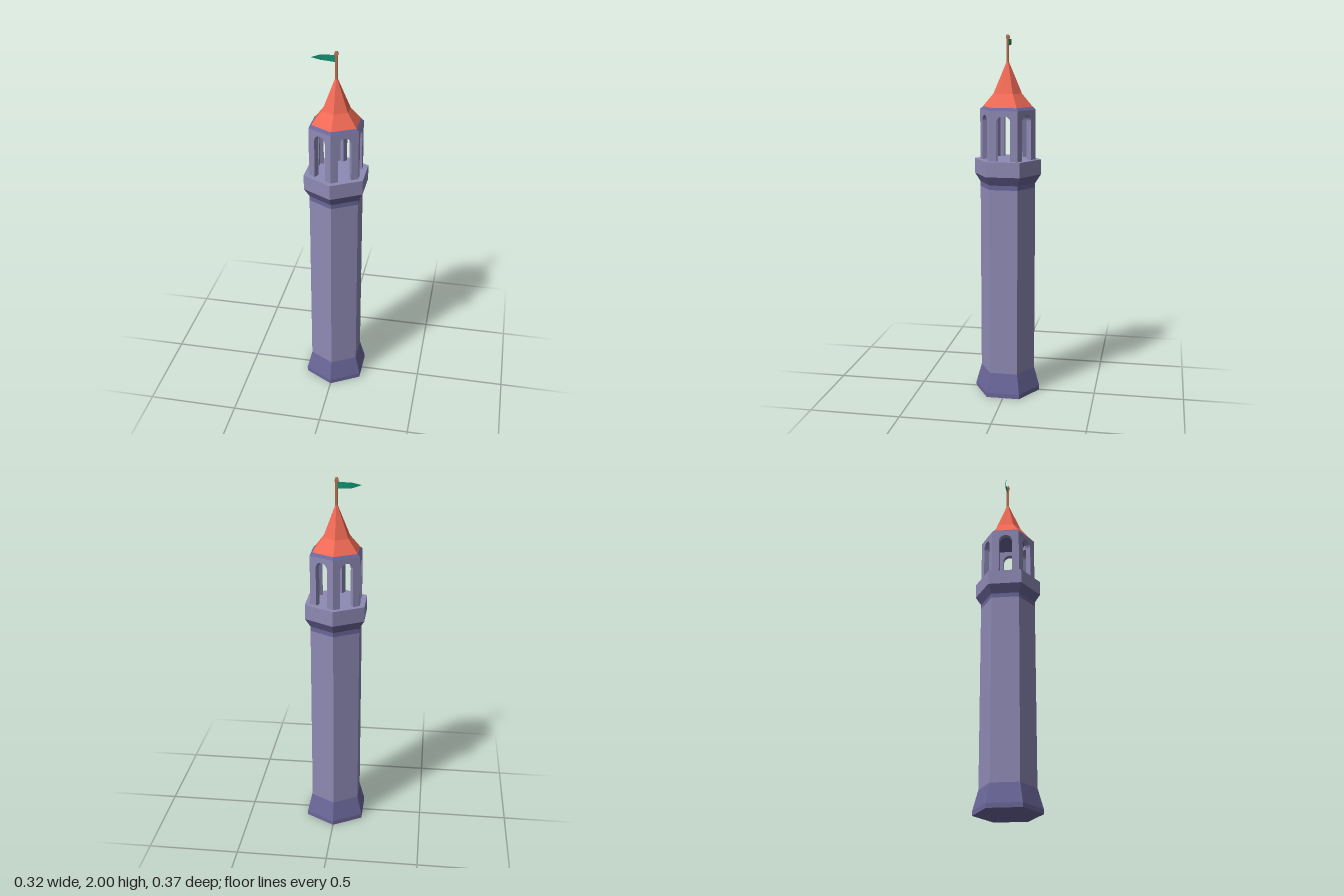
import * as THREE from 'three';

const material = (color, side = THREE.FrontSide) =>
  new THREE.MeshStandardMaterial({ color, flatShading: true, side });

const stone = material(0x8e8ab5);
const trim = material(0x6a6699);
const tile = material(0xf06a55);
const wood = material(0xb5704f);
const cloth = material(0x12906f, THREE.DoubleSide);

const R = 0.153; // corner radius of the shaft and lantern
const RIM = 0.184; // corner radius of the base and parapet

export function createModel() {
  const tower = new THREE.Group();
  tower.name = 'tower';

  const add = (name, geometry, mat, parent = tower) => {
    const mesh = new THREE.Mesh(geometry, mat);
    mesh.name = name;
    parent.add(mesh);
    return mesh;
  };

  // Prism or frustum between two heights, with a corner on +z
  const frustum = (name, y0, y1, r0, r1, mat, { sides = 6, open = false } = {}) => {
    const geometry = new THREE.CylinderGeometry(r1, r0, y1 - y0, sides, 1, open);
    if (sides === 4) geometry.rotateY(Math.PI / 4);
    geometry.translate(0, (y0 + y1) / 2, 0);
    return add(name, geometry, mat);
  };

  // Body, from the ground up
  frustum('plinth', 0, 0.025, RIM, RIM, trim);
  frustum('baseFlare', 0.025, 0.135, RIM, R, trim, { open: true });
  frustum('shaft', 0.135, 1.18, R, R, stone, { open: true });
  frustum('collar', 1.18, 1.205, R, R, trim, { open: true });
  frustum('corbel', 1.205, 1.253, R, RIM, trim, { open: true });
  frustum('parapet', 1.253, 1.335, RIM, RIM, stone);

  // Lantern: six mitred wall panels, each with an arched opening
  const y0 = 1.335, y1 = 1.605, spring = 1.542, half = 0.037, depth = 0.03;
  const apothem = R * Math.cos(Math.PI / 6);
  const outline = new THREE.Shape();
  outline.moveTo(-R / 2, y0);
  outline.lineTo(-half, y0);
  outline.lineTo(-half, spring);
  outline.absarc(0, spring, half, Math.PI, 0, true);
  outline.lineTo(half, y0);
  outline.lineTo(R / 2, y0);
  outline.lineTo(R / 2, y1);
  outline.lineTo(-R / 2, y1);
  outline.closePath();
  const panel = new THREE.ExtrudeGeometry(outline, { depth, bevelEnabled: false, curveSegments: 10 });
  const p = panel.attributes.position;
  for (let i = 0; i < p.count; i++) {
    // Mitre the inner ends so neighbours meet at the corners
    const x = p.getX(i);
    if (Math.abs(x) > half + 0.01 && p.getZ(i) < depth / 2) {
      p.setX(i, x - Math.sign(x) * depth * Math.tan(Math.PI / 6));
    }
  }
  panel.translate(0, 0, apothem - depth);
  const lantern = new THREE.Group();
  lantern.name = 'lantern';
  tower.add(lantern);
  for (let i = 0; i < 6; i++) {
    add('archedWall', panel, stone, lantern).rotation.y = Math.PI / 6 + (i * Math.PI) / 3;
  }

  // Roof with a kicked-out lower slope
  frustum('eave', 1.605, 1.62, R, 0.137, trim);
  frustum('roofSkirt', 1.62, 1.69, 0.137, 0.078, tile, { open: true });
  frustum('roofSpire', 1.69, 1.86, 0.078, 0.006, tile);

  // Flagpole and its finial
  frustum('flagpole', 1.85, 1.98, 0.009, 0.009, wood, { sides: 4 });
  frustum('finial', 1.98, 1.99, 0.013, 0.013, wood, { sides: 4 });
  frustum('finialTip', 1.99, 2.0, 0.013, 0.009, wood, { sides: 4 });

  // Waving pennant, narrowing to a point at its free end
  const length = 0.125, steps = 12;
  const flag = new THREE.PlaneGeometry(length, 1, steps, 1);
  const f = flag.attributes.position;
  for (let i = 0; i < f.count; i++) {
    const t = f.getX(i) / length + 0.5; // 0 at the pole, 1 at the tip
    const height = t < 0.6 ? 0.036 - 0.01 * t : 0.03 * ((1 - t) / 0.4);
    const wave = -0.009 * Math.sin(t * Math.PI * 1.25) * (0.4 + 0.6 * t);
    f.setXYZ(i, -0.005 - t * length, 1.961 + 0.002 * t + f.getY(i) * height, wave);
  }
  add('flag', flag, cloth);

  return tower;
}
